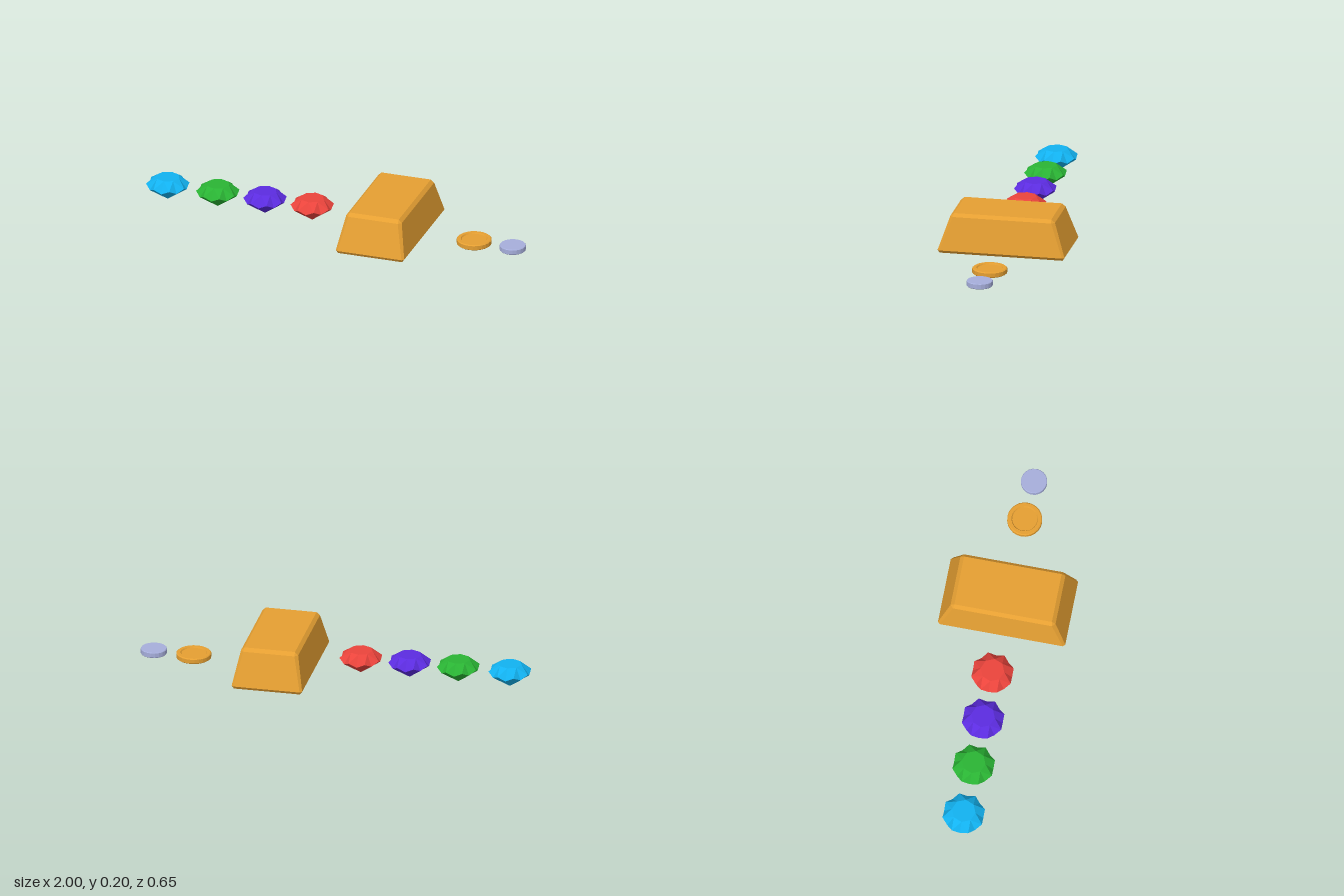
import * as THREE from 'three';

const mat = (color) => new THREE.MeshStandardMaterial({ color, flatShading: true });

// Closed solid from stacked rings (bottom to top, each counter-clockwise seen from above)
function loft(rings) {
  const n = rings[0].length, tris = [];
  const tri = (a, b, c) => {
    const area = new THREE.Vector3().crossVectors(b.clone().sub(a), c.clone().sub(a)).length();
    if (area > 1e-9) tris.push(a, b, c);
  };
  for (let k = 0; k < rings.length - 1; k++) {
    const lo = rings[k], hi = rings[k + 1];
    for (let i = 0; i < n; i++) {
      const j = (i + 1) % n;
      tri(lo[i], lo[j], hi[j]);
      tri(lo[i], hi[j], hi[i]);
    }
  }
  const top = rings[rings.length - 1];
  for (let i = 1; i < n - 1; i++) {
    tri(rings[0][0], rings[0][i + 1], rings[0][i]);
    tri(top[0], top[i], top[i + 1]);
  }
  const g = new THREE.BufferGeometry().setFromPoints(tris);
  g.computeVertexNormals();
  return g;
}

// Rectangle with cut corners, half sizes x and z
function cutRect(y, x, z, c) {
  return [[x, -z + c], [x - c, -z], [-x + c, -z], [-x, -z + c],
    [-x, z - c], [-x + c, z], [x - c, z], [x, z - c]].map(([a, b]) => new THREE.Vector3(a, y, b));
}

// Eight-sided cut stone: pointed base, zigzag girdle, faceted crown and flat table
function gemGeometry() {
  const at = (i, r, y) => {
    const a = (i + 0.5) * Math.PI / 8 * 1;
    return new THREE.Vector3(Math.cos(a) * r, y, -Math.sin(a) * r);
  };
  const tip = new THREE.Vector3(0, 0.01, 0), centre = new THREE.Vector3(0, 0.132, 0);
  const tris = [];
  for (let k = 0; k < 8; k++) {
    const i = 2 * k + 0.5; // corner of the girdle
    const corner = at(i, 0.109, 0.097), mid = at(i + 1, 0.1, 0.078), next = at(i + 2, 0.109, 0.097);
    const t0 = at(i - 1, 0.06, 0.132), t1 = at(i + 1, 0.06, 0.132);
    tris.push(tip, mid, corner, tip, next, mid); // pavilion
    tris.push(corner, mid, t1, mid, next, t1);   // lower crown
    tris.push(corner, t1, t0);                   // upper crown
    tris.push(centre, t0, t1);                   // table
  }
  const g = new THREE.BufferGeometry().setFromPoints(tris);
  g.computeVertexNormals();
  return g;
}

export function createModel() {
  const group = new THREE.Group();
  const add = (name, geometry, material, x, z = 0) => {
    const mesh = new THREE.Mesh(geometry, material);
    mesh.name = name;
    mesh.position.set(x, 0, z);
    group.add(mesh);
  };
  const gold = mat(0xe59f32);

  // Row of gems
  const gem = gemGeometry();
  [['blueGem', 0x12b2f0, -0.898], ['greenGem', 0x2ab434, -0.633],
    ['purpleGem', 0x5c2ce0, -0.383], ['redGem', 0xea443c, -0.133]]
    .forEach(([name, color, x]) => add(name, gem, mat(color), x));

  // Tapered ingot with bevelled edges
  add('goldBar', loft([
    cutRect(0.002, 0.169, 0.315, 0),
    cutRect(0.017, 0.181, 0.325, 0.011),
    cutRect(0.187, 0.147, 0.268, 0.016),
    cutRect(0.203, 0.13, 0.249, 0),
  ]), gold, 0.28);

  // Coins: turned profiles, the gold one with a raised rim on both faces
  const turn = (points, sides) =>
    new THREE.LatheGeometry(points.map(([r, y]) => new THREE.Vector2(r, y)), sides);
  add('goldCoin', turn([[0, 0.014], [0.063, 0.014], [0.067, 0.008], [0.083, 0.008], [0.088, 0.012],
    [0.088, 0.033], [0.083, 0.037], [0.067, 0.037], [0.063, 0.031], [0, 0.031]], 24), gold, 0.725);
  add('silverCoin', turn([[0, 0.008], [0.063, 0.008], [0.066, 0.011],
    [0.066, 0.034], [0.063, 0.037], [0, 0.037]], 20), mat(0xa6aedb), 0.932, 0.008);

  return group;
}
